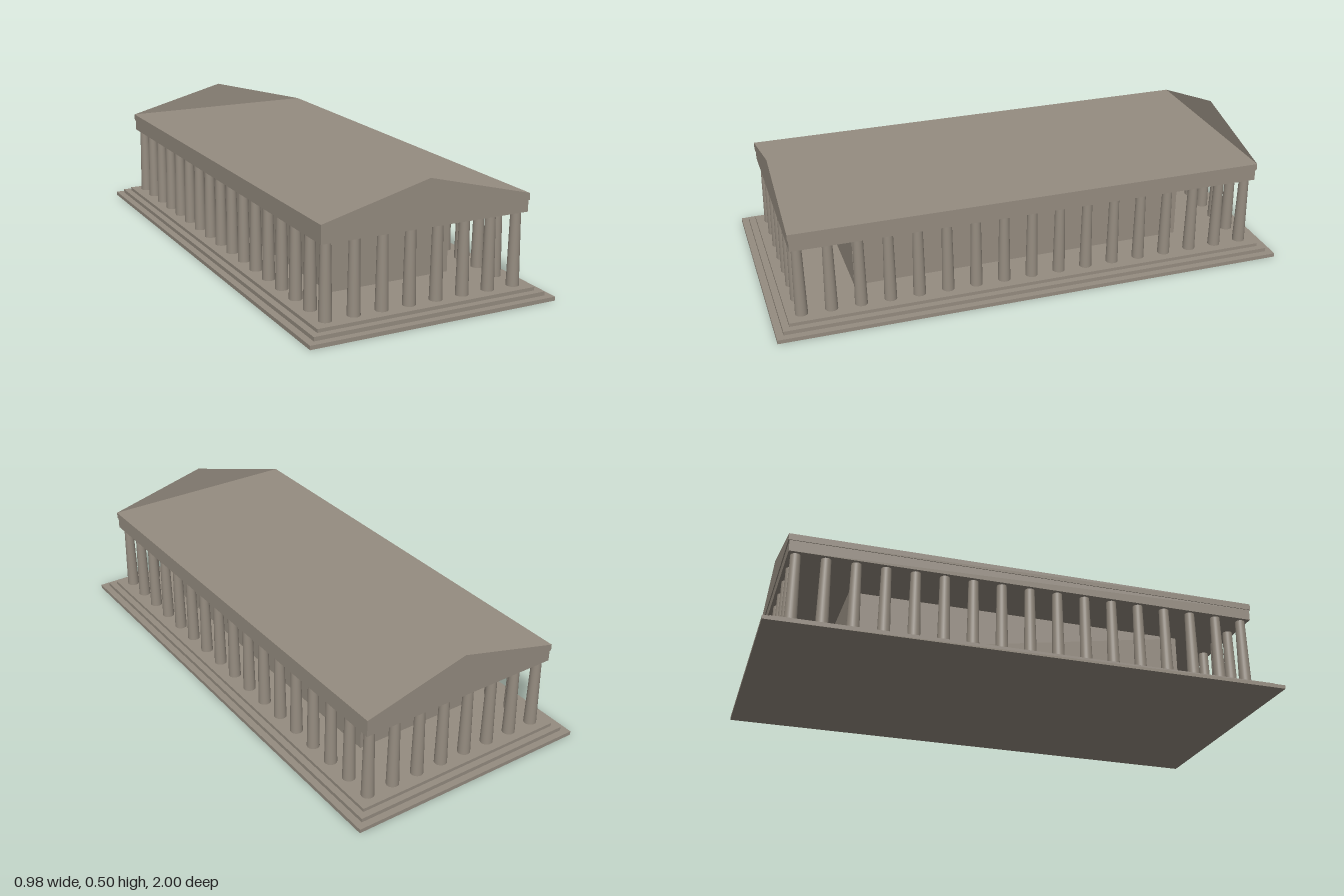
import * as THREE from 'three';

export function createModel() {
  const temple = new THREE.Group();
  temple.name = 'temple';

  const stone = new THREE.MeshStandardMaterial({ color: 0x958c80 });
  stone.name = 'stone';
  // Same stone, visible from both sides for the thin gables
  const thinStone = new THREE.MeshStandardMaterial({ color: 0x958c80, side: THREE.DoubleSide });
  thinStone.name = 'thin stone';

  // Block given by half width, half depth and its bottom and top heights
  function block(name, halfX, halfZ, y0, y1) {
    const mesh = new THREE.Mesh(new THREE.BoxGeometry(halfX * 2, y1 - y0, halfZ * 2), stone);
    mesh.position.y = (y0 + y1) / 2;
    mesh.name = name;
    temple.add(mesh);
  }

  // Stepped base
  block('lowerStep', 0.489, 1, 0, 0.015);
  block('middleStep', 0.462, 0.973, 0.015, 0.03);
  block('upperStep', 0.436, 0.947, 0.03, 0.043);

  // Inner chamber
  block('chamber', 0.246, 0.668, 0.043, 0.276);

  // Beam and cornice with a flat top
  block('beam', 0.41, 0.921, 0.321, 0.365);
  block('cornice', 0.413, 0.925, 0.365, 0.39);

  // Tapered columns around the edge, 8 across and 17 along
  const columns = new THREE.Group();
  columns.name = 'columns';
  temple.add(columns);
  const across = 8, along = 17, columnX = 0.379, columnZ = 0.892;
  const y0 = 0.043, y1 = 0.321;
  const columnGeometry = new THREE.CylinderGeometry(0.019, 0.024, y1 - y0, 24);
  for (let i = 0; i < across; i++) {
    for (let j = 0; j < along; j++) {
      const onEdge = i === 0 || i === across - 1 || j === 0 || j === along - 1;
      if (!onEdge) continue;
      const column = new THREE.Mesh(columnGeometry, stone);
      column.name = 'column';
      column.position.set(
        columnX * (2 * i / (across - 1) - 1),
        (y0 + y1) / 2,
        columnZ * (2 * j / (along - 1) - 1));
      columns.add(column);
    }
  }

  // Thin triangular gables standing at each end
  const triangle = new THREE.Shape([
    new THREE.Vector2(-0.413, 0.39),
    new THREE.Vector2(0.413, 0.39),
    new THREE.Vector2(0, 0.496),
  ]);
  const gableGeometry = new THREE.ShapeGeometry(triangle);
  for (const side of [1, -1]) {
    const gable = new THREE.Mesh(gableGeometry, thinStone);
    gable.name = side > 0 ? 'frontGable' : 'backGable';
    gable.position.z = side * 0.925;
    if (side < 0) gable.rotation.y = Math.PI;
    temple.add(gable);
  }

  return temple;
}
